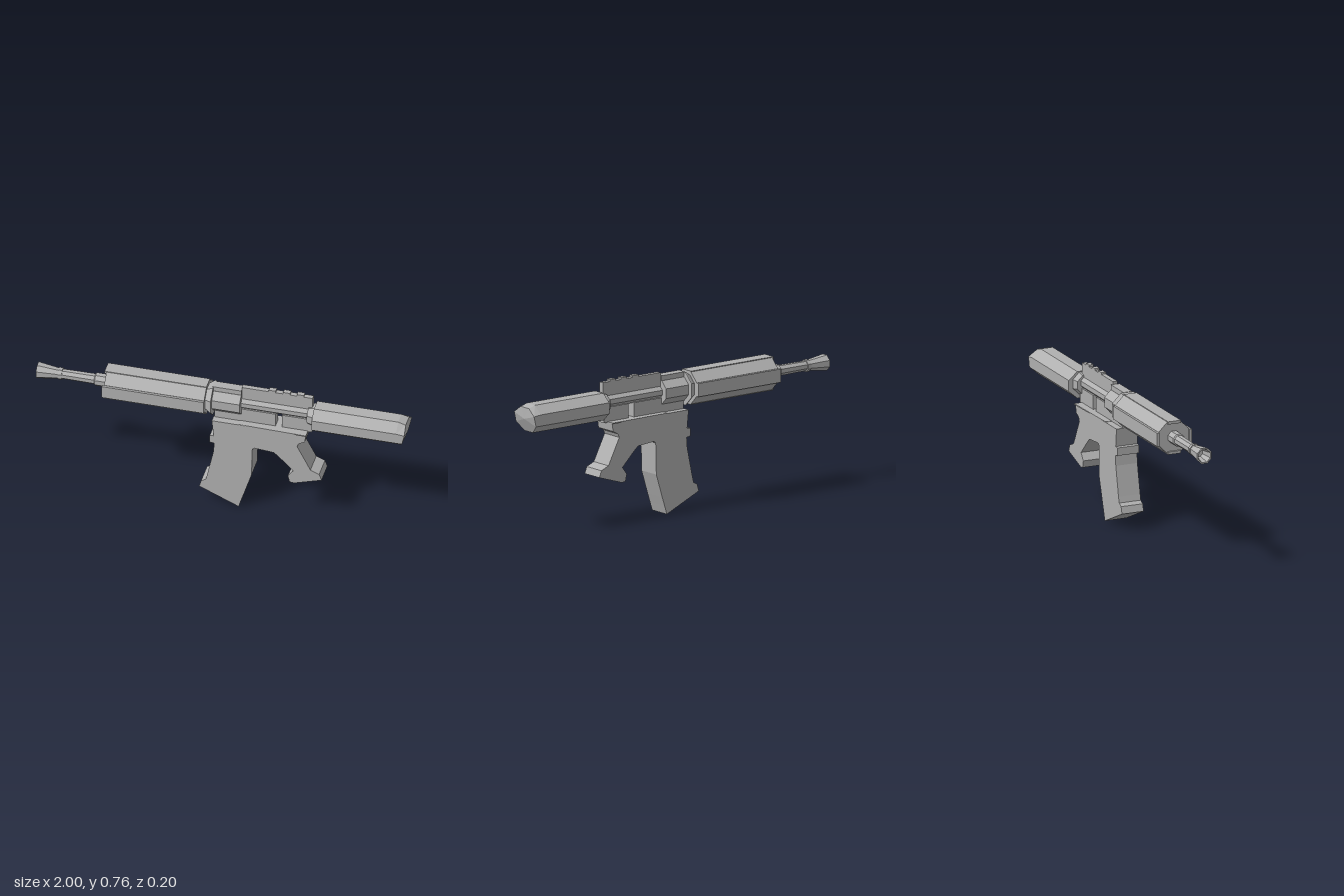
import * as THREE from 'three';

const AXIS_Y = 0.65; // height of the barrel line

export function createModel() {
  const model = new THREE.Group();
  const grey = new THREE.MeshStandardMaterial({ color: 0xb0b0b0 });
  grey.name = 'plain grey';

  // Adds a faceted mesh
  function add(name, geometry) {
    const flat = geometry.index ? geometry.toNonIndexed() : geometry;
    flat.computeVertexNormals();
    const mesh = new THREE.Mesh(flat, grey);
    mesh.name = name;
    model.add(mesh);
    return mesh;
  }

  // Box given by its limits
  function box(name, x0, x1, y0, y1, z0, z1) {
    const g = new THREE.BoxGeometry(x1 - x0, y1 - y0, z1 - z0);
    g.translate((x0 + x1) / 2, (y0 + y1) / 2, (z0 + z1) / 2);
    return add(name, g);
  }

  // Eight-sided turning along x from [x, half height] pairs
  function octagon(profile, zScale = 1) {
    const k = 1 / Math.cos(Math.PI / 8);
    const points = profile.map(([x, a]) => new THREE.Vector2(a * k, x));
    const g = new THREE.LatheGeometry(points, 8, Math.PI / 8);
    g.rotateZ(-Math.PI / 2);
    g.scale(1, 1, zScale);
    return g;
  }

  // Outline in the xy plane extruded evenly about z = 0
  function slab(name, outline, depth) {
    const shape = new THREE.Shape(outline.map(([x, y]) => new THREE.Vector2(x, y)));
    const g = new THREE.ExtrudeGeometry(shape, { depth, bevelEnabled: false });
    g.translate(0, 0, -depth / 2);
    return add(name, g);
  }

  // Hollow muzzle, ring, barrel and collar
  add('barrel', octagon([
    [-0.93, 0], [-0.93, 0.022], [-1, 0.034], [-1, 0.042], [-0.885, 0.027],
    [-0.885, 0.031], [-0.865, 0.031], [-0.865, 0.025], [-0.69, 0.027],
    [-0.685, 0.033], [-0.62, 0.033], [-0.62, 0],
  ])).position.y = AXIS_Y;

  // Handguard with raised plates on its flats
  add('handguard', octagon([
    [-0.62, 0], [-0.62, 0.087], [-0.08, 0.087], [-0.08, 0],
  ])).position.y = AXIS_Y;
  box('handguardTopPlate', -0.63, -0.08, 0.725, 0.74, -0.037, 0.037);
  box('handguardBottomPlate', -0.63, -0.08, 0.56, 0.575, -0.037, 0.037);
  for (const s of [-1, 1]) {
    const side = box('handguardSidePlate', -0.63, -0.08, 0.613, 0.685, -0.007, 0.007);
    side.position.z = s * 0.093;
  }

  // Flared ring behind the handguard
  add('flaredRing', octagon([
    [-0.085, 0], [-0.085, 0.065], [-0.05, 0.088], [-0.045, 0.088], [-0.045, 0],
  ])).position.y = AXIS_Y;

  // Front receiver
  add('frontReceiver', octagon([
    [-0.05, 0], [-0.05, 0.063], [0.105, 0.063], [0.105, 0],
  ])).position.y = AXIS_Y;
  box('frontReceiverRib', -0.05, 0.105, 0.69, 0.74, -0.025, 0.025);

  // Rear receiver: rod, top fin and the blocks either side of the opening
  add('receiverRod', octagon([
    [0.1, 0], [0.1, 0.031], [0.5, 0.031], [0.5, 0],
  ])).position.y = AXIS_Y;
  box('topFin', 0.105, 0.487, 0.62, 0.755, -0.013, 0.013);
  box('frontBlock', -0.04, 0.29, 0.54, 0.622, -0.025, 0.025);
  box('rearBlock', 0.325, 0.487, 0.54, 0.622, -0.025, 0.025);
  for (const x of [0.25, 0.328, 0.402]) {
    box('railTooth', x, x + 0.038, 0.75, 0.765, -0.013, 0.013);
  }

  // Stock with a collar and a slanted, chamfered end
  add('stockCollar', octagon([
    [0.465, 0], [0.465, 0.05], [0.5, 0.06], [0.51, 0.06], [0.51, 0],
  ])).position.y = AXIS_Y - 0.01;
  const stock = octagon([
    [0.5, 0], [0.5, 0.073], [0.955, 0.073], [1, 0.073], [1, 0],
  ], 1.16);
  const p = stock.attributes.position;
  for (let i = 0; i < p.count; i++) {
    if (p.getX(i) < 0.98) continue;
    const y = p.getY(i);
    p.setX(i, 1 - Math.max(0, -y) * 0.42 - Math.max(0, y - 0.03) * 0.1);
    if (y > 0) p.setY(i, y * 0.83);
  }
  add('stock', stock).position.y = 0.632;

  // Lower frame with the magazine and grip
  slab('lowerFrame', [
    [-0.045, 0.543], [-0.035, 0.445], [-0.056, 0.443], [-0.056, 0.4],
    [-0.032, 0.396], [-0.036, 0.34], [-0.07, 0.18], [-0.078, 0.148],
    [-0.102, 0.135], [-0.113, 0.097], [0.1, 0.002], [0.115, 0.05],
    [0.13, 0.096], [0.17, 0.225], [0.174, 0.395], [0.185, 0.405],
    [0.29, 0.396], [0.32, 0.37], [0.395, 0.295], [0.366, 0.257],
    [0.375, 0.218], [0.4, 0.215], [0.548, 0.262], [0.535, 0.298],
    [0.488, 0.318], [0.416, 0.46], [0.425, 0.48], [0.457, 0.497], [0.464, 0.543],
  ], 0.125);

  // Thin top plate, widening to the rear
  const plate = new THREE.BoxGeometry(0.37, 0.006, 0.14);
  const q = plate.attributes.position;
  for (let i = 0; i < q.count; i++) {
    if (q.getX(i) < 0) q.setZ(i, q.getZ(i) * 0.87);
  }
  plate.translate(0.28, 0.542, 0);
  add('framePlate', plate);

  return model;
}
